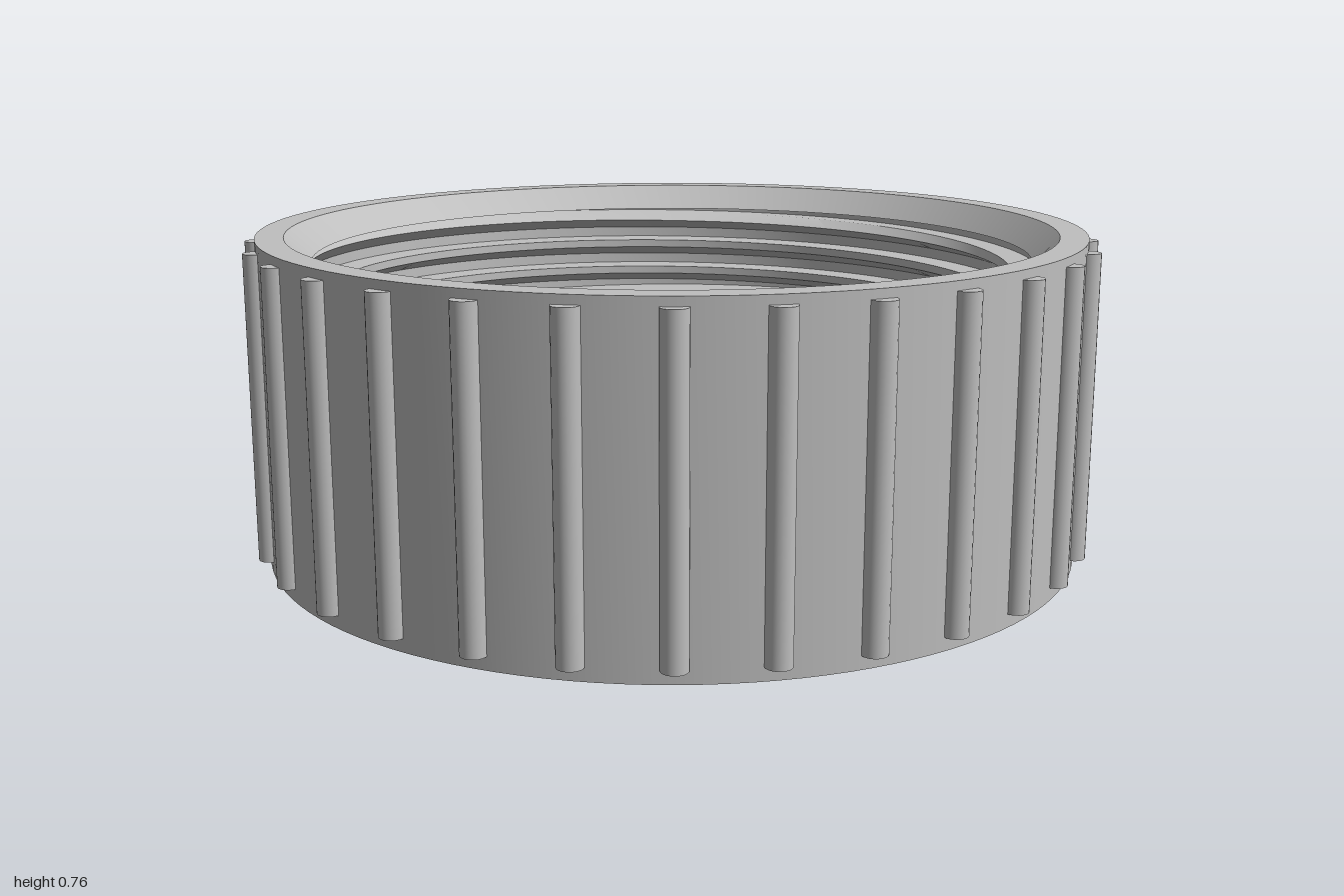
import * as THREE from 'three';
import { toCreasedNormals } from 'three/addons/utils/BufferGeometryUtils.js';

const SEG = 120;
const grey = new THREE.MeshStandardMaterial({ color: 0xbfbfbf });
grey.name = 'grey plastic';

function part(name, geometry) {
  const mesh = new THREE.Mesh(geometry, grey);
  mesh.name = name;
  return mesh;
}

// Turned part with crisp edges, from [radius, height] pairs
function turned(points) {
  const profile = points.map(([r, y]) => new THREE.Vector2(r, y));
  return toCreasedNormals(new THREE.LatheGeometry(profile, SEG), 0.5);
}

// Internal helical thread: one tooth profile repeated down the wall
function threadGeometry() {
  const pitch = 0.076, top = 0.70, bottom = 0.475, start = 0.6065;
  const root = 0.87, crest = 0.80;
  const tooth = [[0, 0], [1, 0.002], [1, 0.022], [0, 0.05]]; // [height of tooth, drop]
  const rows = [];
  for (let turn = -3; turn < 5; turn++) {
    for (const [h, drop] of tooth) rows.push([h, start - turn * pitch - drop]);
  }
  const positions = [], index = [], w = SEG + 1;
  rows.forEach(([h, y0], i) => {
    for (let j = 0; j <= SEG; j++) {
      const u = j / SEG, a = u * Math.PI * 2;
      const y = THREE.MathUtils.clamp(y0 + u * pitch, bottom, top);
      const fade = THREE.MathUtils.clamp((top - y) / 0.03, 0, 1); // thread run-in
      const r = root - (root - crest) * h * fade;
      positions.push(r * Math.cos(a), y, -r * Math.sin(a));
      if (i < rows.length - 1 && j < SEG) {
        const p = i * w + j;
        index.push(p, p + 1, p + w, p + 1, p + w + 1, p + w);
      }
    }
  });
  const g = new THREE.BufferGeometry();
  g.setAttribute('position', new THREE.Float32BufferAttribute(positions, 3));
  g.setIndex(index);
  return toCreasedNormals(g, 0.5);
}

// Seat ring with a central bore and three small holes
function seatGeometry() {
  const shape = new THREE.Shape().absarc(0, 0, 0.705, 0, Math.PI * 2);
  shape.holes.push(new THREE.Path().absarc(0, 0, 0.59, 0, Math.PI * 2, true));
  for (const degrees of [-90, 30, 150]) {
    const a = THREE.MathUtils.degToRad(degrees);
    shape.holes.push(new THREE.Path().absarc(
      0.645 * Math.cos(a), 0.645 * Math.sin(a), 0.028, 0, Math.PI * 2, true));
  }
  const g = new THREE.ExtrudeGeometry(shape, { depth: 0.35, bevelEnabled: false, curveSegments: 64 });
  g.rotateX(-Math.PI / 2).translate(0, 0.075, 0);
  return toCreasedNormals(g, 0.5);
}

export function createModel() {
  const model = new THREE.Group();
  model.name = 'screwCap';

  // Base, outer wall, rim and lead-in chamfer
  model.add(part('shell', turned([
    [0, 0], [0.97, 0], [0.97, 0.76], [0.905, 0.76], [0.845, 0.70], [0.872, 0.70],
  ])));
  model.add(part('thread', threadGeometry()));

  // Ledge below the thread, seat ring and floor of the bore
  model.add(part('ledge', turned([[0.875, 0.475], [0.735, 0.475], [0.705, 0.475], [0.705, 0.42]])));
  model.add(part('seatRing', seatGeometry()));
  model.add(part('floor', turned([[0.7, 0.076], [0, 0.076]])));

  // Grip ribs around the outside
  const ribs = new THREE.Group();
  ribs.name = 'gripRibs';
  const ribGeometry = new THREE.CylinderGeometry(0.029, 0.029, 0.71, 20);
  for (let i = 0; i < 30; i++) {
    const a = (i / 30) * Math.PI * 2;
    const rib = part('gripRib', ribGeometry);
    rib.position.set(0.971 * Math.cos(a), 0.385, 0.971 * Math.sin(a));
    ribs.add(rib);
  }
  model.add(ribs);
  return model;
}
